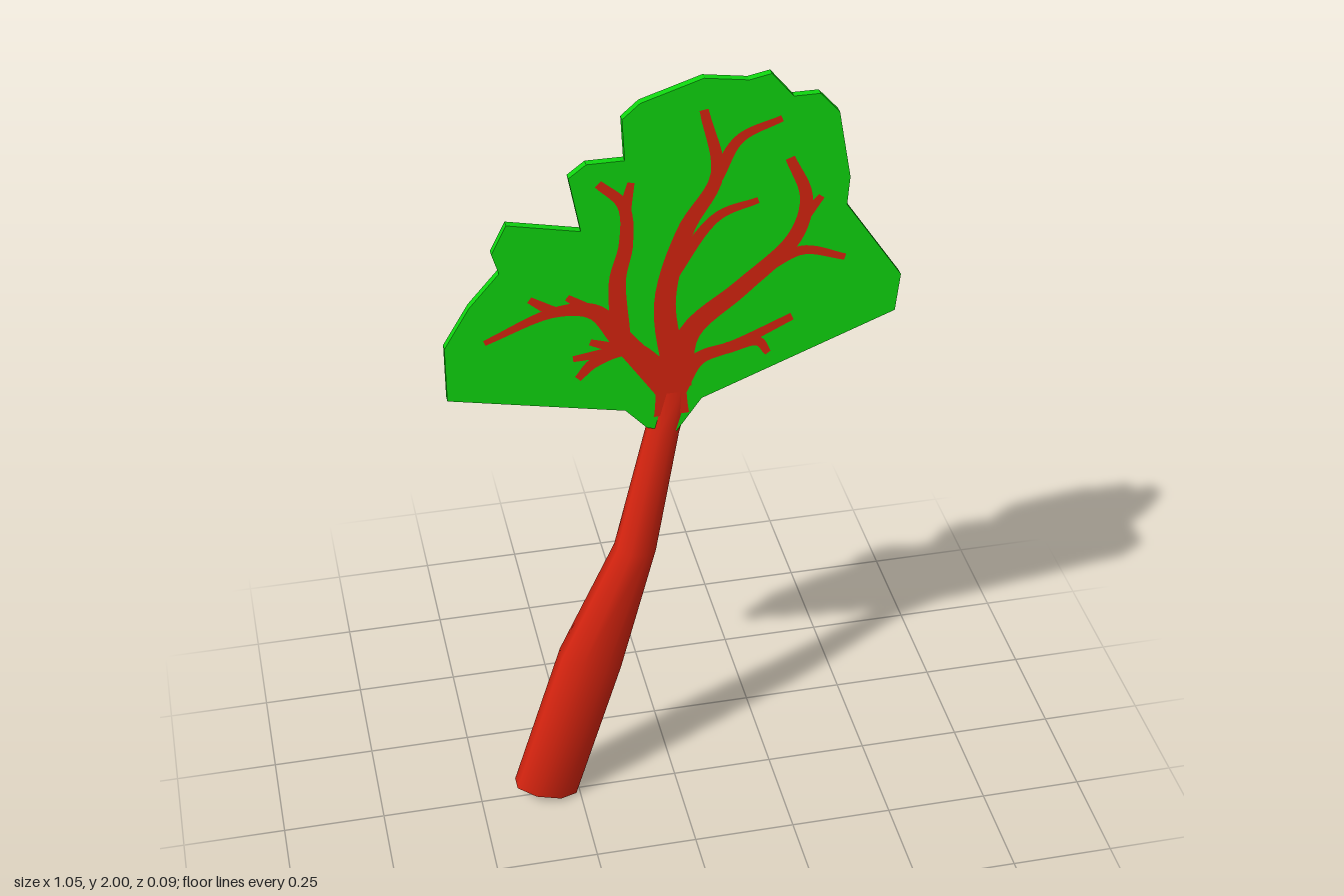
import * as THREE from 'three';

const green = new THREE.MeshStandardMaterial({ color: 0x0fd60f });
green.name = 'leaf green';
const red = new THREE.MeshStandardMaterial({ color: 0xd8240f });
red.name = 'bark red';

const THICKNESS = 0.019; // crown spans z = 0 to this depth

function add(group, name, geometry, material) {
  const mesh = new THREE.Mesh(geometry, material);
  mesh.name = name;
  group.add(mesh);
}

function buildGeometry(positions, indices) {
  const g = new THREE.BufferGeometry();
  g.setAttribute('position', new THREE.Float32BufferAttribute(positions, 3));
  g.setIndex(indices);
  g.computeVertexNormals();
  return g;
}

const smoothPath = points => new THREE.CatmullRomCurve3(points.map(([x, y]) => new THREE.Vector3(x, y, 0)));

// Tapering flat ribbon along a curve; side is +1 for front, -1 for back
function ribbon(curve, w0, w1, side) {
  const steps = curve.points.length * 5, pos = [], idx = [];
  const z = side > 0 ? THICKNESS + 0.002 : -0.002;
  for (let i = 0; i <= steps; i++) {
    const t = i / steps, p = curve.getPoint(t), d = curve.getTangent(t);
    const h = (w0 + (w1 - w0) * t) / 2;
    pos.push(p.x - d.y * h, p.y + d.x * h, z, p.x + d.y * h, p.y - d.x * h, z);
    if (i === steps) break;
    const a = i * 2;
    if (side > 0) idx.push(a, a + 1, a + 3, a, a + 3, a + 2);
    else idx.push(a, a + 3, a + 1, a, a + 2, a + 3);
  }
  return buildGeometry(pos, idx);
}

// Trunk rings: left x, left y, right x, right y, back z, front z
const RINGS = [
  [-0.41, 0.05, -0.26, 0.005, -0.046, 0.046],
  [-0.285, 0.455, -0.14, 0.40, -0.045, 0.046],
  [-0.145, 0.76, -0.05, 0.75, -0.039, 0.042],
  [-0.065, 1.10, 0.008, 1.08, -0.027, 0.026],
  [-0.048, 1.20, 0.036, 1.20, -0.002, 0.021],
];
const SIDES = 8;

function ringPoints([xl, yl, xr, yr, zb, zf]) {
  const out = [], k = 1 / Math.cos(Math.PI / SIDES);
  for (let j = 0; j < SIDES; j++) {
    const a = ((j + 0.5) / SIDES) * Math.PI * 2;
    const u = 0.5 + Math.cos(a) / 2, v = 0.5 + Math.sin(a) / 2;
    const s = 0.5 + (u - 0.5) * k, w = 0.5 + (v - 0.5) * k;
    out.push([xl + (xr - xl) * s, yl + (yr - yl) * s, zb + (zf - zb) * w]);
  }
  return out;
}

function trunkGeometry() {
  const pos = RINGS.flatMap(r => ringPoints(r).flat()), idx = [];
  for (let i = 0; i < RINGS.length - 1; i++) {
    for (let j = 0; j < SIDES; j++) {
      const a = i * SIDES + j, b = i * SIDES + (j + 1) % SIDES;
      idx.push(a, a + SIDES, b, b, a + SIDES, b + SIDES);
    }
  }
  return buildGeometry(pos, idx);
}

function capGeometry(ring, up) {
  const idx = [];
  for (let j = 1; j < SIDES - 1; j++) idx.push(0, ...(up ? [j + 1, j] : [j, j + 1]));
  return buildGeometry(ringPoints(ring).flat(), idx);
}

// Crown outline
const OUTLINE = [
  [-0.53, 1.25], [-0.12, 1.165], [-0.07, 1.11], [0.0, 1.09], [0.06, 1.175], [0.515, 1.355],
  [0.525, 1.45], [0.39, 1.65], [0.395, 1.72], [0.365, 1.885], [0.32, 1.935], [0.26, 1.935],
  [0.21, 1.995], [0.16, 1.985], [0.06, 2.0], [-0.08, 1.955], [-0.12, 1.92], [-0.115, 1.82],
  [-0.20, 1.82], [-0.24, 1.79], [-0.215, 1.655], [-0.38, 1.69], [-0.415, 1.62], [-0.40, 1.57],
  [-0.47, 1.49], [-0.53, 1.39],
];

// Limbs: start and end width, path, and twigs that leave the path at fraction t
const FRONT = [
  { w: [0.085, 0.06], path: [[-0.012, 1.14], [-0.015, 1.30]], twigs: [] },
  {
    w: [0.06, 0.02], path: [[0, 1.24], [-0.027, 1.45], [0.02, 1.63], [0.09, 1.76], [0.06, 1.925]],
    twigs: [[0.74, [0.14, 1.845], [0.235, 1.885]], [0.32, [0.09, 1.655], [0.185, 1.687]]],
  },
  {
    w: [0.06, 0.022],
    path: [[0.005, 1.22], [0.03, 1.36], [0.15, 1.465], [0.27, 1.58], [0.295, 1.68], [0.255, 1.785]],
    twigs: [[0.7, [0.33, 1.68]], [0.48, [0.29, 1.545], [0.39, 1.515]]],
  },
  {
    w: [0.045, 0.02], path: [[0, 1.20], [0.05, 1.285], [0.13, 1.31], [0.27, 1.372]],
    twigs: [[0.62, [0.19, 1.315], [0.215, 1.28]]],
  },
  {
    w: [0.065, 0.014], path: [[-0.01, 1.20], [-0.125, 1.36], [-0.19, 1.445], [-0.28, 1.455], [-0.44, 1.395]],
    twigs: [[0.5, [-0.25, 1.49]], [0.75, [-0.335, 1.495]]],
  },
  {
    w: [0.045, 0.02], path: [[-0.13, 1.38], [-0.135, 1.52], [-0.115, 1.61], [-0.12, 1.71], [-0.175, 1.77]],
    twigs: [[0.72, [-0.102, 1.765]]],
  },
  {
    w: [0.05, 0.018], path: [[-0.04, 1.27], [-0.11, 1.335], [-0.19, 1.31], [-0.23, 1.27]],
    twigs: [[0.4, [-0.24, 1.325]], [0.4, [-0.20, 1.365]]],
  },
];
const BACK = [
  { w: [0.085, 0.06], path: [[-0.01, 1.13], [0, 1.31]], twigs: [] },
  { w: [0.055, 0.045], path: [[0, 1.27], [-0.005, 1.52], [-0.05, 1.74], [-0.105, 1.87]], twigs: [] },
  {
    w: [0.055, 0.014], path: [[0.005, 1.22], [0.07, 1.33], [0.2, 1.45], [0.315, 1.545], [0.47, 1.51]],
    twigs: [[0.74, [0.335, 1.63]], [0.5, [0.28, 1.40]]],
  },
  { w: [0.03, 0.012], path: [[0, 1.50], [0.15, 1.67], [0.25, 1.75], [0.29, 1.87]], twigs: [] },
  {
    w: [0.05, 0.035], path: [[-0.01, 1.25], [-0.06, 1.37], [-0.15, 1.47], [-0.34, 1.55]],
    twigs: [[0.4, [-0.2, 1.42], [-0.36, 1.39]]],
  },
  { w: [0.035, 0.018], path: [[-0.02, 1.18], [-0.10, 1.26], [-0.19, 1.31]], twigs: [[0.5, [-0.14, 1.33]]] },
];

function branches(name, limbs, side) {
  const group = new THREE.Group();
  group.name = name;
  for (const { w, path, twigs } of limbs) {
    const curve = smoothPath(path);
    add(group, 'limb', ribbon(curve, w[0], w[1], side), red);
    for (const [t, ...rest] of twigs) {
      const start = curve.getPoint(t);
      add(group, 'twig', ribbon(smoothPath([[start.x, start.y], ...rest]), 0.032, 0.016, side), red);
    }
  }
  return group;
}

export function createModel() {
  const model = new THREE.Group();
  model.name = 'tree';

  // Flat crown
  const shape = new THREE.Shape(OUTLINE.map(([x, y]) => new THREE.Vector2(x, y)));
  add(model, 'crown', new THREE.ExtrudeGeometry(shape, { depth: THICKNESS, bevelEnabled: false }), green);

  // Leaning trunk with a green underside
  add(model, 'trunk', trunkGeometry(), red);
  add(model, 'trunkTop', capGeometry(RINGS[RINGS.length - 1], true), red);
  add(model, 'trunkBase', capGeometry(RINGS[0], false), green);

  // Branches laid on both faces of the crown
  model.add(branches('frontBranches', FRONT, 1), branches('backBranches', BACK, -1));
  return model;
}
